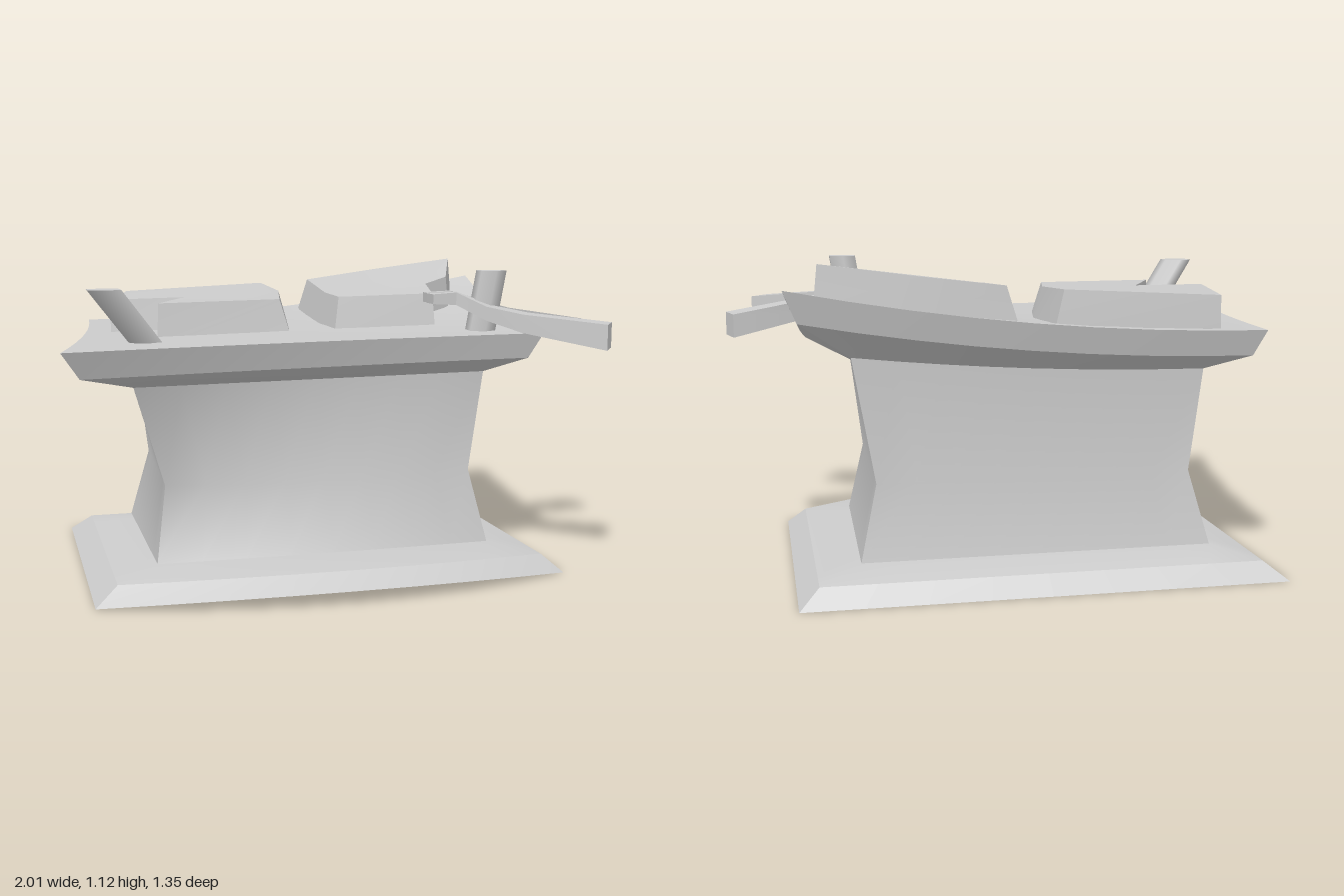
import * as THREE from 'three';
import { toCreasedNormals } from 'three/addons/utils/BufferGeometryUtils.js';

const material = new THREE.MeshStandardMaterial({ color: 0xcccccc });

function addMesh(group, name, geometry) {
  const mesh = new THREE.Mesh(geometry, material);
  mesh.name = name;
  group.add(mesh);
  return mesh;
}

// Triangles to a geometry with sharp edges above the crease angle
function fromTriangles(points, crease) {
  const g = new THREE.BufferGeometry();
  g.setAttribute('position', new THREE.Float32BufferAttribute(points.flatMap(p => p.toArray()), 3));
  return toCreasedNormals(g, crease);
}

// Skin consecutive closed rings; capFaces index into the end rings
function skin(rings, capFaces, crease) {
  const tris = [];
  for (let k = 0; k < rings.length - 1; k++) {
    const a = rings[k], b = rings[k + 1], n = a.length;
    for (let i = 0; i < n; i++) {
      const j = (i + 1) % n;
      tris.push(a[i], a[j], b[j], a[i], b[j], b[i]);
    }
  }
  const last = rings[rings.length - 1];
  for (const [i, j, k] of capFaces) tris.push(last[i], last[j], last[k], rings[0][k], rings[0][j], rings[0][i]);
  return fromTriangles(tris, crease);
}

// A warped four-cornered sheet: corners are front left, front right, back right, back left
// (as seen from the front), lift raises the back right corner, bulge curves the front edge
function sheetPoint({ corners: [a, b, c, d], y, lift = 0, bulge = 0, rise = 0, waist = 0 }, u, v) {
  const mix = i => (a[i] * (1 - u) + b[i] * u) * (1 - v) + (d[i] * (1 - u) + c[i] * u) * v;
  const arch = 4 * u * (1 - u) * (1 - v);
  return new THREE.Vector3(
    mix(0) + waist * 4 * v * (1 - v) * (1 - u),
    y + lift * u * u * v * v + rise * arch,
    mix(1) + bulge * arch);
}

// Stack of warped sheets joined by walls, closed top and bottom
function stack(sheets, crease, n = 8) {
  const edge = [];
  for (let i = 0; i < n; i++) edge.push([i / n, 0]);
  for (let i = 0; i < n; i++) edge.push([1, i / n]);
  for (let i = 0; i < n; i++) edge.push([1 - i / n, 1]);
  for (let i = 0; i < n; i++) edge.push([0, 1 - i / n]);
  const tris = [];
  const quad = (a, b, c, d) => tris.push(a, b, c, a, c, d);
  for (let k = 0; k < sheets.length - 1; k++) {
    edge.forEach((p, i) => {
      const q = edge[(i + 1) % edge.length];
      quad(sheetPoint(sheets[k], ...p), sheetPoint(sheets[k], ...q),
        sheetPoint(sheets[k + 1], ...q), sheetPoint(sheets[k + 1], ...p));
    });
  }
  for (let i = 0; i < n; i++) for (let j = 0; j < n; j++) {
    const at = (s, di, dj) => sheetPoint(s, (i + di) / n, (j + dj) / n);
    const t = sheets[sheets.length - 1], b = sheets[0];
    quad(at(t, 0, 0), at(t, 1, 0), at(t, 1, 1), at(t, 0, 1));
    quad(at(b, 0, 1), at(b, 1, 1), at(b, 1, 0), at(b, 0, 0));
  }
  return fromTriangles(tris, crease);
}

// Height of the warped table surface
function tableHeight(x, z) {
  const u = THREE.MathUtils.clamp((x + 0.87) / 1.67, 0, 1);
  const v = THREE.MathUtils.clamp((0.5 - z) / 1.12, 0, 1);
  return 0.88 + 0.16 * u * u * v * v;
}

// Slab lying on the table, with sloping sides between two outlines
function slab(bottom, top) {
  const ring = (outline, dy) => outline.map(([x, z]) => new THREE.Vector3(x, tableHeight(x, z) + dy, z));
  const faces = THREE.ShapeUtils.triangulateShape(top.map(([x, z]) => new THREE.Vector2(x, -z)), []);
  return skin([ring(bottom, -0.03), ring(top, 0.115)], faces, 0.25);
}

// Tapered bar; each station is x, y, z, width, thickness
function bar(stations) {
  const pts = stations.map(s => new THREE.Vector3(s[0], s[1], s[2]));
  const rings = stations.map(([, , , w, t], i) => {
    const d = pts[Math.min(i + 1, pts.length - 1)].clone().sub(pts[Math.max(i - 1, 0)]);
    const side = new THREE.Vector3(-d.z, 0, d.x).normalize();
    return [[1, 1], [-1, 1], [-1, -1], [1, -1]].map(([a, b]) => {
      const p = pts[i].clone().addScaledVector(side, b * w / 2);
      p.y += a * t / 2;
      return p;
    });
  });
  return skin(rings, [[0, 1, 2], [0, 2, 3]], 0.4);
}

// Six-sided peg leaning from foot to head with level ends
function peg(foot, head, rx, rz) {
  const h = head[1] - foot[1];
  const g = new THREE.CylinderGeometry(1, 1, 1, 6);
  g.translate(0, 0.5, 0);
  return g.applyMatrix4(new THREE.Matrix4().set(
    rx, head[0] - foot[0], 0, foot[0],
    0, h, 0, foot[1],
    0, head[2] - foot[2], rz, foot[2],
    0, 0, 0, 1));
}

export function createModel() {
  const model = new THREE.Group();
  model.name = 'mapTable';

  // Sheets shared between neighbouring parts
  const columnFoot = { corners: [[-0.67, 0.31], [0.56, 0.31], [0.58, -0.485], [-0.67, -0.485]], y: 0.095, bulge: 0.08, rise: 0.02 };
  const columnHead = { corners: [[-0.75, 0.4], [0.55, 0.27], [0.6, -0.46], [-0.64, -0.46]], y: 0.73, lift: 0.07 };

  // Stepped base with a bowed front
  addMesh(model, 'base', stack([
    { corners: [[-0.9, 0.47], [0.8, 0.47], [0.8, -0.68], [-0.9, -0.68]], y: 0, bulge: 0.18, rise: 0.048 },
    { corners: [[-0.82, 0.42], [0.73, 0.42], [0.73, -0.62], [-0.82, -0.62]], y: 0.063, bulge: 0.15, rise: 0.035 },
    columnFoot,
  ], 0.4));

  // Waisted column
  addMesh(model, 'column', stack([
    columnFoot,
    { corners: [[-0.63, 0.25], [0.505, 0.25], [0.52, -0.44], [-0.6, -0.44]], y: 0.36, bulge: 0.05 },
    columnHead,
  ], 0.75));

  // Warped tabletop with a bevelled rim
  addMesh(model, 'tabletop', stack([
    columnHead,
    { corners: [[-0.94, 0.62], [0.67, 0.4], [0.78, -0.59], [-0.77, -0.59]], y: 0.79, lift: 0.14, bulge: -0.02, waist: 0.025 },
    { corners: [[-1, 0.67], [0.72, 0.42], [0.825, -0.62], [-0.81, -0.62]], y: 0.88, lift: 0.16, bulge: -0.025, waist: 0.03 },
  ], 0.4));

  // Raised slabs
  addMesh(model, 'notchedSlab', slab(
    [[-0.645, 0.225], [-0.145, 0.145], [-0.07, -0.22], [-0.075, -0.555], [-0.66, -0.565], [-0.78, -0.015], [-0.535, -0.05]],
    [[-0.635, 0.2], [-0.185, 0.12], [-0.11, -0.22], [-0.11, -0.545], [-0.66, -0.56], [-0.775, -0.05], [-0.5, -0.095]]));
  addMesh(model, 'angledSlab', slab(
    [[0.02, 0.125], [0.42, 0.11], [0.485, -0.145], [0.61, -0.25], [0.725, -0.54], [0.38, -0.565], [0.035, -0.52], [0.005, -0.07]],
    [[0.045, 0.095], [0.415, 0.085], [0.475, -0.16], [0.6, -0.265], [0.71, -0.535], [0.38, -0.555], [0.08, -0.51], [0.04, -0.08]]));

  // Leaning peg and the pivot of the dividers
  addMesh(model, 'leaningPeg', peg([-0.69, 0.86, 0.365], [-0.845, 1.06, 0.455], 0.062, 0.066));
  addMesh(model, 'pivotPeg', peg([0.53, 0.86, 0.272], [0.57, 1.1, 0.282], 0.056, 0.052));

  // Two bent arms crossing beside the pivot
  addMesh(model, 'backArm', bar([
    [0.35, 1.0, 0.185, 0.05, 0.035], [0.45, 1.0, 0.19, 0.045, 0.045], [0.58, 0.955, 0.215, 0.07, 0.05],
    [0.66, 0.925, 0.165, 0.085, 0.065], [1.0, 0.862, 0.08, 0.115, 0.085]]));
  addMesh(model, 'frontArm', bar([
    [0.34, 1.0, 0.268, 0.07, 0.035], [0.44, 1.0, 0.27, 0.06, 0.045], [0.54, 0.95, 0.345, 0.08, 0.05],
    [0.64, 0.92, 0.435, 0.1, 0.065], [0.885, 0.88, 0.6, 0.12, 0.09]]));

  return model;
}
